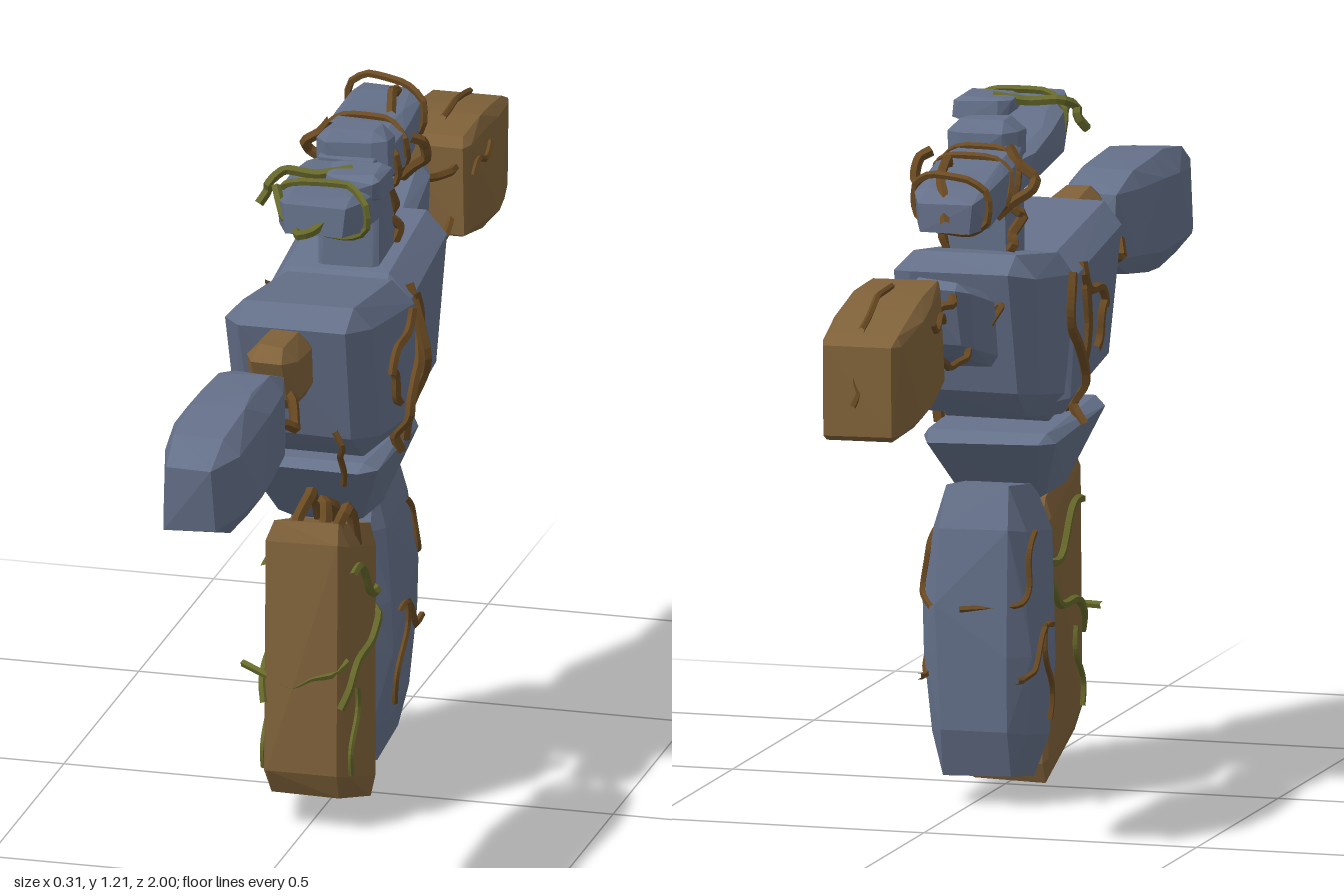
import * as THREE from 'three';
import { ConvexGeometry } from 'three/addons/geometries/ConvexGeometry.js';

const paint = (color) => new THREE.MeshStandardMaterial({ color, flatShading: true });
const STONE = paint(0x65718a), EARTH = paint(0x80623a), ROOT = paint(0x6a4a22), MOSS = paint(0x66682a);
const SIDES = [-1, 1];

let seed = 7;
const jitter = (amount) => {
  seed = (seed * 16807) % 2147483647;
  return (seed / 2147483647 - 0.5) * amount;
};

// Chiselled boulder: a block with cut corners, sheared (yz: y rises along z, and so on),
// flared upwards and swollen by belly around the middle of its longest side.
function rock(name, mat, [cx, cy, cz], size, { bevel = 0.28, yz = 0, zy = 0, xz = 0, flare = 0, belly = 0 } = {}) {
  const pts = [];
  const long = size.indexOf(Math.max(...size));
  const add = (x, y, z) => {
    const f = 1 + flare * y / size[1];
    z *= f;
    pts.push(new THREE.Vector3(cx + x * (1 + f) / 2 + xz * z + jitter(0.01),
      cy + y + yz * z + jitter(0.006), cz + z + zy * y + jitter(0.012)));
  };
  for (const sx of SIDES) for (const sy of SIDES) for (const sz of SIDES) {
    for (let axis = 0; axis < 3; axis++) {
      const corner = [sx, sy, sz].map((s, i) => s * size[i] * (i === axis ? 1 : 1 - bevel) / 2);
      add(...corner);
      if (belly && axis !== long) {
        add(...corner.map((v, i) => (i === long ? v * 0.25 : v * (1 + belly))));
      }
    }
  }
  const mesh = new THREE.Mesh(new ConvexGeometry(pts), mat);
  mesh.name = name;
  return mesh;
}

// Low-poly root or vine through the given points.
function vine(name, mat, points, r, closed = false) {
  const curve = new THREE.CatmullRomCurve3(points, closed, 'catmullrom', 0.3);
  const mesh = new THREE.Mesh(new THREE.TubeGeometry(curve, points.length * 3, r, 5, closed), mat);
  mesh.name = name;
  return mesh;
}

// Root that bows out between two points.
function strand(name, mat, from, to, bow, r = 0.009, wobble = 0.02) {
  const a = new THREE.Vector3(...from), b = new THREE.Vector3(...to), out = new THREE.Vector3(...bow);
  const pts = [];
  for (let i = 0; i <= 5; i++) {
    const p = a.clone().lerp(b, i / 5).addScaledVector(out, Math.sin(Math.PI * i / 5));
    pts.push(p.add(new THREE.Vector3(jitter(wobble), jitter(wobble), jitter(wobble))));
  }
  return vine(name, mat, pts, r);
}

// Squarish loop around a part that lies along z.
function loop(name, mat, [x, y, z], hx, hy) {
  const square = (v) => THREE.MathUtils.clamp(v * 1.35, -1, 1);
  const pts = [];
  for (let i = 0; i < 8; i++) {
    const a = (i + 0.5) * Math.PI / 4;
    pts.push(new THREE.Vector3(x + hx * square(Math.cos(a)), y + hy * square(Math.sin(a)),
      z + 0.03 * Math.cos(a) + jitter(0.03)));
  }
  return vine(name, mat, pts, 0.007, true);
}

export function createModel() {
  const model = new THREE.Group();
  model.name = 'stoneGolem';

  // Boulders
  const rocks = [
    rock('torsoFront', STONE, [0, 0.822, 0.1], [0.265, 0.3, 0.36], { yz: 0.15, zy: 0.22, flare: 0.12 }),
    rock('torsoBack', STONE, [-0.005, 0.822, -0.115], [0.255, 0.3, 0.33], { yz: -0.15, zy: -0.2, flare: 0.12 }),
    rock('pelvis', STONE, [-0.012, 0.583, 0.005], [0.205, 0.145, 0.25], { bevel: 0.2, flare: 1.1, yz: 0.06 }),
    rock('frontLeg', EARTH, [0, 0.281, 0.122], [0.148, 0.51, 0.232], { bevel: 0.16, yz: 0.32 }),
    rock('backLeg', STONE, [-0.015, 0.295, -0.143], [0.175, 0.52, 0.21], { bevel: 0.3, yz: -0.15, belly: 0.09 }),
    rock('frontUpperArm', EARTH, [0.005, 0.912, 0.395], [0.085, 0.13, 0.18], { bevel: 0.42, yz: 0.1, zy: 0.3 }),
    rock('frontForearm', STONE, [0, 0.885, 0.765], [0.136, 0.185, 0.47],
      { bevel: 0.36, yz: -0.04, zy: 0.12, belly: 0.1 }),
    rock('backUpperArm', STONE, [-0.03, 0.89, -0.422], [0.112, 0.145, 0.2], { yz: -0.3, zy: -0.3 }),
    rock('backForearm', EARTH, [-0.01, 0.888, -0.785], [0.145, 0.19, 0.39],
      { bevel: 0.16, yz: 0.12, xz: 0.07, belly: 0.1 }),
    rock('neck', STONE, [0.005, 1, -0.095], [0.11, 0.2, 0.11], { bevel: 0.15 }),
    rock('headFront', STONE, [0.015, 1.13, 0.085], [0.15, 0.07, 0.42], { yz: 0.13, xz: 0.1, belly: 0.12 }),
    rock('headBack', STONE, [-0.02, 1.11, -0.28], [0.13, 0.075, 0.48], { yz: 0.06, xz: 0.1, belly: 0.1 }),
    rock('crown', STONE, [0.005, 1.15, -0.095], [0.13, 0.1, 0.08], { bevel: 0.4 }),
    rock('crownRidge', STONE, [0.07, 1.178, 0.125], [0.1, 0.045, 0.1]),
  ];
  model.add(...rocks);

  // Creepers: bent paths from one [z, y] to another, laid on the boulders by ray casting
  const ray = new THREE.Raycaster();
  function creeper(name, mat, side, [z0, y0], [z1, y1], r = 0.008) {
    const pts = [];
    let x = side * 0.06;
    for (let i = 0; i <= 9; i++) {
      const sway = 0.1 * Math.sin(i * 0.7);
      const z = THREE.MathUtils.lerp(z0, z1, i / 9) + sway * (y1 - y0);
      const y = THREE.MathUtils.lerp(y0, y1, i / 9) - sway * (z1 - z0);
      ray.set(new THREE.Vector3(side, y, z), new THREE.Vector3(-side, 0, 0));
      const hit = ray.intersectObjects(rocks, false)[0];
      if (hit) x = hit.point.x + side * r * 0.6;
      pts.push(new THREE.Vector3(x, y, z));
    }
    model.add(vine(name, mat, pts, r));
  }
  for (const s of SIDES) {
    creeper('torsoRoot', ROOT, s, [-0.04, 0.92], [0.01, 0.64], 0.01);
    creeper('torsoRoot', ROOT, s, [0.02, 0.91], [0.15, 0.83], 0.009);
    creeper('torsoRoot', ROOT, s, [0.15, 0.84], [0.09, 0.76], 0.009);
    creeper('frontLegVine', MOSS, s, [0.01, 0.37], [0.24, 0.23]);
    creeper('frontLegVine', MOSS, s, [0.21, 0.47], [0.01, 0.39]);
    creeper('frontLegVine', MOSS, s, [0.17, 0.25], [0.21, 0.1], 0.006);
    creeper('backLegRoot', ROOT, s, [-0.14, 0.31], [-0.09, 0.13], 0.006);
    creeper('backLegRoot', ROOT, s, [-0.09, 0.3], [-0.28, 0.23], 0.006);
    creeper('backLegRoot', ROOT, s, [-0.18, 0.48], [-0.26, 0.35], 0.006);
    creeper('forearmRoot', ROOT, s, [-0.62, 0.93], [-0.75, 0.95], 0.006);

    // Roots hanging beside the torso, cheeks and neck
    model.add(
      strand('hangingRoot', ROOT, [s * 0.125, 0.93, -0.04 * s], [s * 0.1, 0.65, -0.04 * s], [s * 0.03, 0, 0], 0.011),
      strand('waistRoot', ROOT, [s * 0.08, 0.77, 0.28], [s * 0.07, 0.64, 0.19], [0, 0, 0.02], 0.006),
      strand('cheekRoot', ROOT, [s * 0.07, 1.16, -0.19], [s * 0.05, 1.06, -0.25], [s * 0.05, 0, 0], 0.01),
      strand('neckRoot', ROOT, [s * 0.05, 1.07, -0.13], [s * 0.06, 0.97, -0.15], [s * 0.01, 0, 0], 0.01),
    );
  }

  // Roots knotting the limbs together
  for (const x of [-0.04, 0, 0.04]) {
    model.add(
      strand('frontWristRoot', ROOT, [x * 0.7, 0.91, 0.45], [x, 0.87, 0.56], [x / 2, -0.04, 0], 0.01),
      strand('backWristRoot', ROOT, [x - 0.03, 0.95, -0.48], [x, 0.93, -0.62], [x / 3, 0.02, 0], 0.008),
      strand('backWristRoot', ROOT, [x - 0.03, 0.87, -0.47], [x, 0.86, -0.62], [x / 3, -0.02, 0], 0.007),
      strand('backShoulderRoot', ROOT, [x - 0.02, 0.9, -0.28], [x - 0.03, 0.87, -0.39], [x / 2, 0.02, 0], 0.006),
      strand('frontHipRoot', ROOT, [x + 0.02, 0.51, 0.21], [x + 0.02, 0.51, 0.1 + x], [0, 0.08, 0], 0.011),
    );
  }

  // Vine across the front leg
  model.add(strand('frontLegVine', MOSS, [-0.13, 0.28, 0.2], [0.08, 0.32, 0.22], [0.02, -0.03, 0.03], 0.007));

  // Vines wound about the head
  for (const z of [-0.17, -0.25, -0.45]) model.add(loop('headRoot', ROOT, [0.01 + z * 0.1, 1.11, z], 0.075, 0.048));
  model.add(
    loop('headVine', MOSS, [0.03, 1.15, 0.2], 0.085, 0.045),
    strand('browVine', MOSS, [0.05, 1.19, 0.13], [-0.1, 1.13, 0.18], [-0.04, 0.02, 0]),
    strand('browVine', MOSS, [-0.06, 1.18, 0.23], [0.07, 1.17, 0.27], [0, -0.05, 0.05]),
    strand('napeRoot', ROOT, [0.02, 1.15, -0.3], [-0.04, 1.09, -0.525], [0, 0.04, -0.01]),
    strand('fistRoot', ROOT, [0, 1, -0.7], [-0.02, 0.965, -0.94], [0, 0.02, 0], 0.006, 0.01),
    strand('fistRoot', ROOT, [-0.02, 0.95, -0.96], [-0.02, 0.84, -0.985], [0, 0, -0.005], 0.006, 0.01),
  );
  return model;
}
